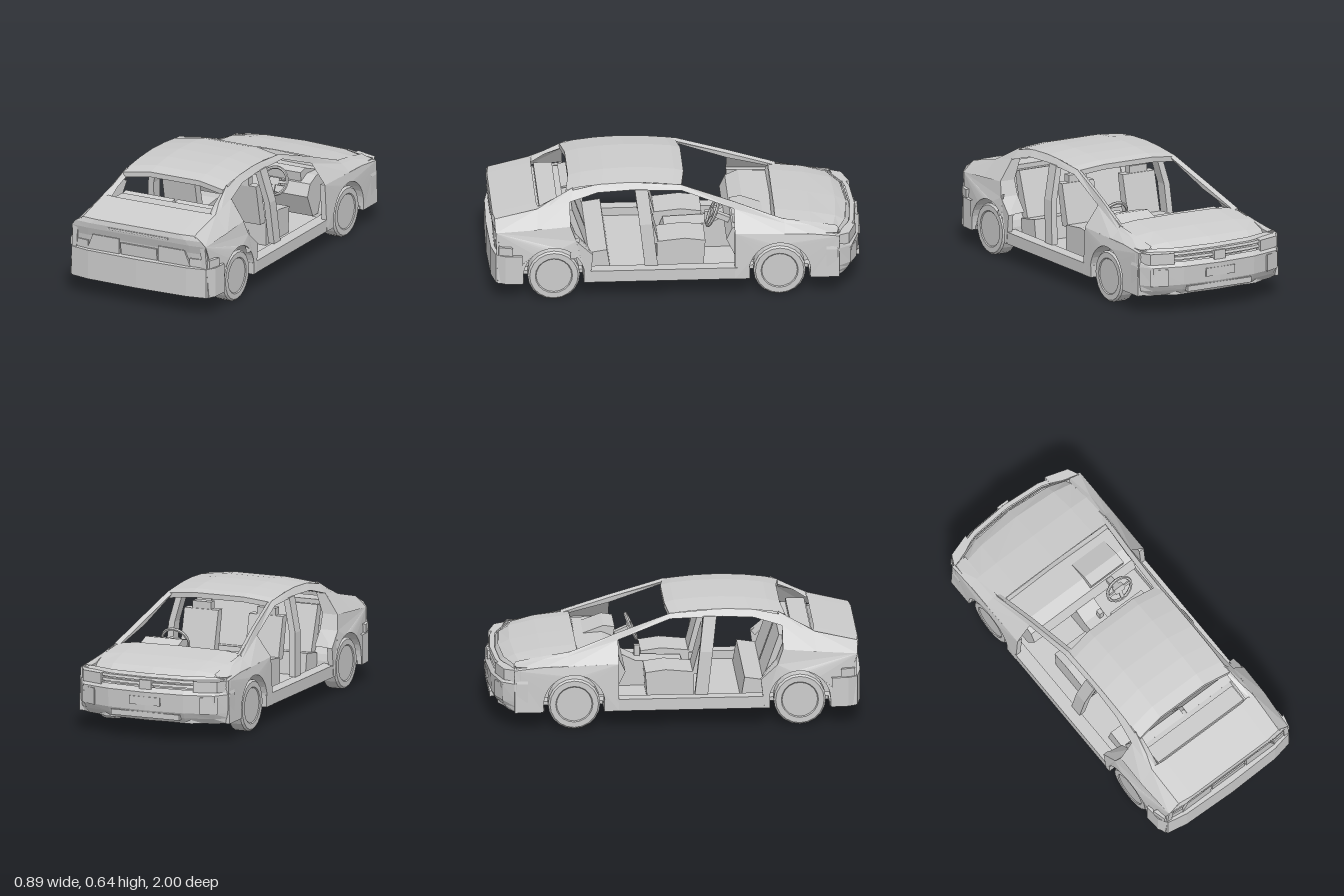
import * as THREE from 'three';

const mat = new THREE.MeshStandardMaterial({ color: 0xcccccc, flatShading: true, side: THREE.DoubleSide });

// Surface through rows of points; closed joins the row ends, capped fills both end sections
function loft(rows, closed = false, capped = false) {
  const n = rows[0].length, idx = [];
  for (let r = 0; r < rows.length - 1; r++)
    for (let i = 0; i < (closed ? n : n - 1); i++) {
      const a = r * n + i, b = r * n + (i + 1) % n;
      idx.push(a, b, a + n, b, b + n, a + n);
    }
  if (capped) for (const s of [0, (rows.length - 1) * n])
    for (let i = 1; i < n - 1; i++) idx.push(s, s + i, s + i + 1);
  const g = new THREE.BufferGeometry();
  g.setAttribute('position', new THREE.Float32BufferAttribute(rows.flat(2), 3));
  g.setIndex(idx);
  g.computeVertexNormals();
  return g;
}

// Side profile in (z, y) extruded inwards from x = outer
function profile(shape, outer, depth) {
  if (Array.isArray(shape)) shape = new THREE.Shape(shape.map(p => new THREE.Vector2(...p)));
  return new THREE.ExtrudeGeometry(shape, { depth, bevelEnabled: false, curveSegments: 14 })
    .rotateY(-Math.PI / 2).translate(outer, 0, 0);
}

const box = (x0, x1, y0, y1, z0, z1) => new THREE.BoxGeometry(x1 - x0, y1 - y0, z1 - z0)
  .translate((x0 + x1) / 2, (y0 + y1) / 2, (z0 + z1) / 2);

// Full-width row from a half row running from the +x side to the centre
const across = half => [...half, ...half.filter(p => p[0] > 0).reverse().map(([x, y, z]) => [-x, y, z])];

export function createModel() {
  const car = new THREE.Group();
  car.name = 'car';
  const add = (name, geo, parent = car) => {
    const m = new THREE.Mesh(geo, mat);
    m.name = name;
    parent.add(m);
    return m;
  };
  const pair = (name, geo) => {
    add(name + 'Left', geo);
    add(name + 'Right', geo).scale.x = -1;
  };

  // Floor pan, notched around the wheels
  const half = [[0.36, 0.95], [0.42, 0.93], [0.42, 0.82], [0.31, 0.82], [0.31, 0.5], [0.43, 0.5],
    [0.43, -0.39], [0.31, -0.39], [0.31, -0.71], [0.42, -0.71], [0.42, -0.86], [0.25, -0.95]];
  const outline = [...half, ...half.slice().reverse().map(([x, z]) => [-x, z])];
  add('floor', new THREE.ExtrudeGeometry(new THREE.Shape(outline.map(p => new THREE.Vector2(...p))),
    { depth: 0.02, bevelEnabled: false }).rotateX(Math.PI / 2).translate(0, 0.12, 0));
  pair('sill', box(0.37, 0.44, 0.1, 0.165, -0.39, 0.5));

  // Fenders with wheel arches, bent in towards the top and the tail
  const bend = g => {
    const p = g.attributes.position;
    for (let i = 0; i < p.count; i++)
      p.setX(i, p.getX(i) - 0.2 * Math.max(0, p.getY(i) - 0.3) - 0.3 * Math.max(0, p.getZ(i) - 0.9));
    g.computeVertexNormals();
    return g;
  };
  const rear = new THREE.Shape();
  rear.moveTo(0.47, 0.1).lineTo(0.495, 0.1).lineTo(0.495, 0.14);
  rear.absarc(0.66, 0.14, 0.165, Math.PI, 0, true);
  rear.lineTo(0.825, 0.1).lineTo(0.96, 0.1).lineTo(0.97, 0.385).lineTo(0.57, 0.42).lineTo(0.54, 0.34).lineTo(0.45, 0.26);
  pair('rearFender', bend(profile(rear, 0.442, 0.03)));
  const front = new THREE.Shape();
  front.moveTo(-0.31, 0.1).lineTo(-0.31, 0.36).lineTo(-0.72, 0.35).lineTo(-0.87, 0.335).lineTo(-0.87, 0.1).lineTo(-0.715, 0.1);
  front.lineTo(-0.715, 0.14);
  front.absarc(-0.55, 0.14, 0.165, Math.PI, 0, true);
  front.lineTo(-0.385, 0.1);
  pair('frontFender', bend(profile(front, 0.442, 0.03)));

  // Shoulders above the fenders, and the C-pillars
  pair('frontShoulder', loft([
    [[0.43, 0.36, -0.31], [0.348, 0.47, -0.31], [0.335, 0.505, -0.31]],
    [[0.432, 0.352, -0.58], [0.385, 0.395, -0.58], [0.365, 0.415, -0.57]],
    [[0.432, 0.348, -0.72], [0.385, 0.38, -0.72], [0.36, 0.39, -0.72]],
    [[0.432, 0.335, -0.87], [0.37, 0.35, -0.87], [0.35, 0.362, -0.86]]]));
  pair('rearShoulder', loft([
    [[0.42, 0.42, 0.57], [0.345, 0.535, 0.57]],
    [[0.42, 0.405, 0.75], [0.345, 0.497, 0.74]],
    [[0.405, 0.385, 0.97], [0.34, 0.44, 0.975]]]));
  pair('rearPillar', loft([
    [[0.345, 0.535, 0.565], [0.305, 0.6, 0.55], [0.285, 0.575, 0.55]],
    [[0.345, 0.51, 0.68], [0.322, 0.535, 0.67], [0.295, 0.525, 0.67]],
    [[0.345, 0.495, 0.745], [0.32, 0.495, 0.745], [0.3, 0.475, 0.745]]], true));
  pair('rearJamb', loft([
    [[0.345, 0.535, 0.575], [0.29, 0.535, 0.575]], [[0.42, 0.42, 0.57], [0.33, 0.42, 0.57]],
    [[0.42, 0.34, 0.54], [0.33, 0.34, 0.54]], [[0.44, 0.26, 0.45], [0.33, 0.26, 0.47]]]));

  // Windscreen pillar running into the roof rail: [z, top x, top y, lower x, lower y]
  pair('roofRail', loft([
    [-0.57, 0.37, 0.415, 0.385, 0.39], [-0.31, 0.335, 0.508, 0.348, 0.47], [-0.03, 0.305, 0.6, 0.325, 0.575],
    [0.25, 0.3, 0.62, 0.323, 0.583], [0.42, 0.302, 0.612, 0.328, 0.575], [0.575, 0.31, 0.58, 0.347, 0.53],
  ].map(([z, tx, ty, bx, by]) => [[tx, ty, z], [bx, by, z], [bx - 0.035, by, z], [tx - 0.025, ty - 0.01, z]]), true, true));
  pair('centrePillar', loft([[0.585, 0.327, 0.185], [0.4, 0.372, 0.162], [0.165, 0.385, 0.135]]
    .map(([y, x, z]) => [[x, y, z - 0.035], [x, y, z + 0.035], [x - 0.035, y, z + 0.035], [x - 0.035, y, z - 0.035]]), true, true));

  // Roof skin and lining
  const roof = [[-0.05, 0.612], [0, 0.625], [0.12, 0.636], [0.25, 0.64], [0.38, 0.634], [0.5, 0.62], [0.57, 0.602]];
  const roofRows = drop => roof.map(([z, y]) => across([[0.305, y - 0.02 - drop, z + 0.02], [0.15, y - drop, z]]));
  add('roof', loft(roofRows(0)));
  add('roofLining', loft(roofRows(0.025)));
  for (const [name, i] of [['frontHeader', 0], ['rearHeader', 6]])
    add(name, loft([roofRows(0)[i], roofRows(0.028)[i]]));

  // Bonnet with a curved front edge
  add('bonnet', loft([[-0.53, 0.425, 0.365, 0], [-0.72, 0.405, 0.362, 0], [-0.87, 0.375, 0.352, 0.03], [-0.93, 0.345, 0.345, 0.05]]
    .map(([z, y, w, c]) => across([[w, y - 0.015, z + c], [w * 0.7, y - 0.003, z + c * 0.4], [0, y, z]]))));
  add('cowl', loft([across([[0.365, 0.41, -0.53], [0, 0.425, -0.53]]), across([[0.36, 0.36, -0.51], [0, 0.37, -0.52]])]));

  // Nose: each row is [y, how far it is set back]
  const nose = ([y, s]) => across([[0.442 - s * 0.3, y, -0.8], [0.44 - s * 0.3, y, -0.86], [0.385 - s * 0.4, y, -0.94 + s],
    [0.22, y, -0.985 + s], [0, y, -1 + s]]);
  add('frontBumper', loft([[0.1, 0.04], [0.13, 0.02], [0.16, 0.005], [0.26, 0], [0.285, 0.02]].map(nose)));
  add('grillePanel', loft([[0.285, 0.04], [0.33, 0.055], [0.35, 0.07]].map(nose)));
  for (const y of [0.295, 0.32]) add('grilleBar', loft([[y, 0.035], [y, 0.02], [y + 0.014, 0.025], [y + 0.014, 0.05]].map(nose)));
  add('grilleCentre', box(-0.035, 0.035, 0.275, 0.325, -0.99, -0.94));
  add('frontPlate', box(-0.09, 0.09, 0.19, 0.235, -1, -0.97));
  add('lowerIntake', box(-0.2, 0.2, 0.12, 0.15, -0.99, -0.94));
  pair('headlight', loft([0.275, 0.335].map(y => [[0.437, y, -0.84], [0.395, y, -0.925], [0.27, y, -0.965], [0.27, y, -0.92]]), true, true));
  pair('foglight', loft([0.16, 0.25].map(y => [[0.4, y, -0.93], [0.31, y, -0.97], [0.31, y, -0.93]]), true, true));

  // Tail
  const tail = (y, z, w) => across([[w, y, z - 0.01], [w * 0.75, y, z], [0, y, z]]);
  add('bootLid', loft([tail(0.495, 0.745, 0.345), tail(0.44, 0.98, 0.342)]));
  add('tailPanel', loft([tail(0.44, 0.98, 0.342), tail(0.415, 0.985, 0.385), tail(0.385, 0.98, 0.41),
    tail(0.34, 0.965, 0.415), tail(0.262, 0.955, 0.43)]));
  add('bootSlot', box(-0.185, 0.185, 0.398, 0.408, 0.97, 0.988));
  add('plateRecess', profile([[0.95, 0.265], [0.968, 0.265], [0.974, 0.33], [0.95, 0.33]], 0.11, 0.22));
  pair('tailLight', loft([[0.265, 0.315, 0.972], [0.35, 0.28, 0.974]]
    .map(([y, x, z]) => [[x, y, z], [0.12, y, z], [0.12, y, 0.95], [x, y, 0.95]]), true, true));
  pair('cornerLight', loft([0.265, 0.31].map(y => [[0.445, y, 0.88], [0.425, y, 0.955], [0.31, y, 0.97], [0.31, y, 0.93]]), true, true));
  add('rearBumper', loft([[0.095, 0.02], [0.1, 0], [0.262, 0], [0.265, 0.045]].map(([y, s]) =>
    across([[0.446 - s, y, 0.83], [0.44 - s, y, 0.92], [0.412 - s, y, 0.97 - s], [0.3, y, 0.992 - s], [0, y, 1 - s]]))));
  add('fuelFlap', loft([[[0.425, 0.36, 0.52], [0.425, 0.34, 0.58]], [[0.445, 0.24, 0.54], [0.437, 0.24, 0.57]]]));

  // Wheels with recessed inner side, and their housings
  for (const [name, z] of [['front', -0.55], ['rear', 0.66]]) {
    const pts = [[0, 0.085], [0.095, 0.085], [0.1, 0.09], [0.13, 0.09], [0.14, 0.08], [0.14, 0.01], [0.13, 0],
      [0.105, 0], [0.1, 0.06], [0, 0.06]].map(p => new THREE.Vector2(...p));
    pair(name + 'Wheel', new THREE.LatheGeometry(pts, 20).rotateZ(-Math.PI / 2).translate(0.34, 0.14, z));
    pair(name + 'Housing', new THREE.CylinderGeometry(0.165, 0.165, 0.12, 14, 1, true, 0, Math.PI)
      .rotateZ(Math.PI / 2).rotateX(0).translate(0.37, 0.14, z));
    pair(name + 'HousingWall', new THREE.CircleGeometry(0.165, 14, 0, Math.PI).rotateY(Math.PI / 2).translate(0.31, 0.14, z));
  }

  // Dashboard, instrument hood, console and steering wheel
  add('dashboard', profile([[-0.53, 0.165], [-0.53, 0.375], [-0.37, 0.385], [-0.3, 0.355], [-0.27, 0.29], [-0.33, 0.165]], 0.345, 0.69));
  add('instrumentHood', profile([[-0.47, 0.38], [-0.36, 0.42], [-0.3, 0.41], [-0.31, 0.35]], 0.285, 0.22));
  add('console', profile([[-0.33, 0.12], [-0.28, 0.3], [-0.2, 0.26], [0.05, 0.25], [0.1, 0.12]], 0.06, 0.12));
  add('gearLever', box(0.02, 0.045, 0.25, 0.32, -0.2, -0.17));
  const steering = new THREE.Group();
  steering.name = 'steering';
  steering.position.set(0.18, 0.375, -0.205);
  steering.rotation.x = -0.42;
  add('steeringRim', new THREE.TorusGeometry(0.075, 0.009, 6, 20), steering);
  add('steeringHub', box(-0.03, 0.03, -0.02, 0.02, -0.02, 0.005), steering);
  add('steeringSpokes', box(-0.072, 0.072, -0.008, 0.008, -0.006, 0.004), steering);
  add('steeringSpoke', box(-0.01, 0.01, -0.072, 0, -0.006, 0.004), steering);
  add('steeringColumn', box(-0.018, 0.018, -0.015, 0.015, -0.13, 0), steering);
  car.add(steering);

  // Seats
  pair('frontCushion', profile([[-0.15, 0.12], [-0.16, 0.265], [-0.05, 0.28], [0.1, 0.265], [0.1, 0.12]], 0.295, 0.21));
  pair('frontBackrest', profile([[0.09, 0.25], [0.15, 0.25], [0.2, 0.48], [0.15, 0.48]], 0.29, 0.2));
  pair('frontHeadrest', box(0.135, 0.245, 0.475, 0.52, 0.155, 0.2));
  add('rearCushion', profile([[0.35, 0.12], [0.37, 0.24], [0.5, 0.22], [0.5, 0.12]], 0.33, 0.66));
  pair('rearBackrest', profile([[0.46, 0.2], [0.53, 0.2], [0.6, 0.46], [0.555, 0.47]], 0.31, 0.3));
  add('parcelShelf', box(-0.3, 0.3, 0.44, 0.455, 0.57, 0.74));
  add('shelfStep', box(-0.29, 0.29, 0.455, 0.48, 0.63, 0.73));
  return car;
}
